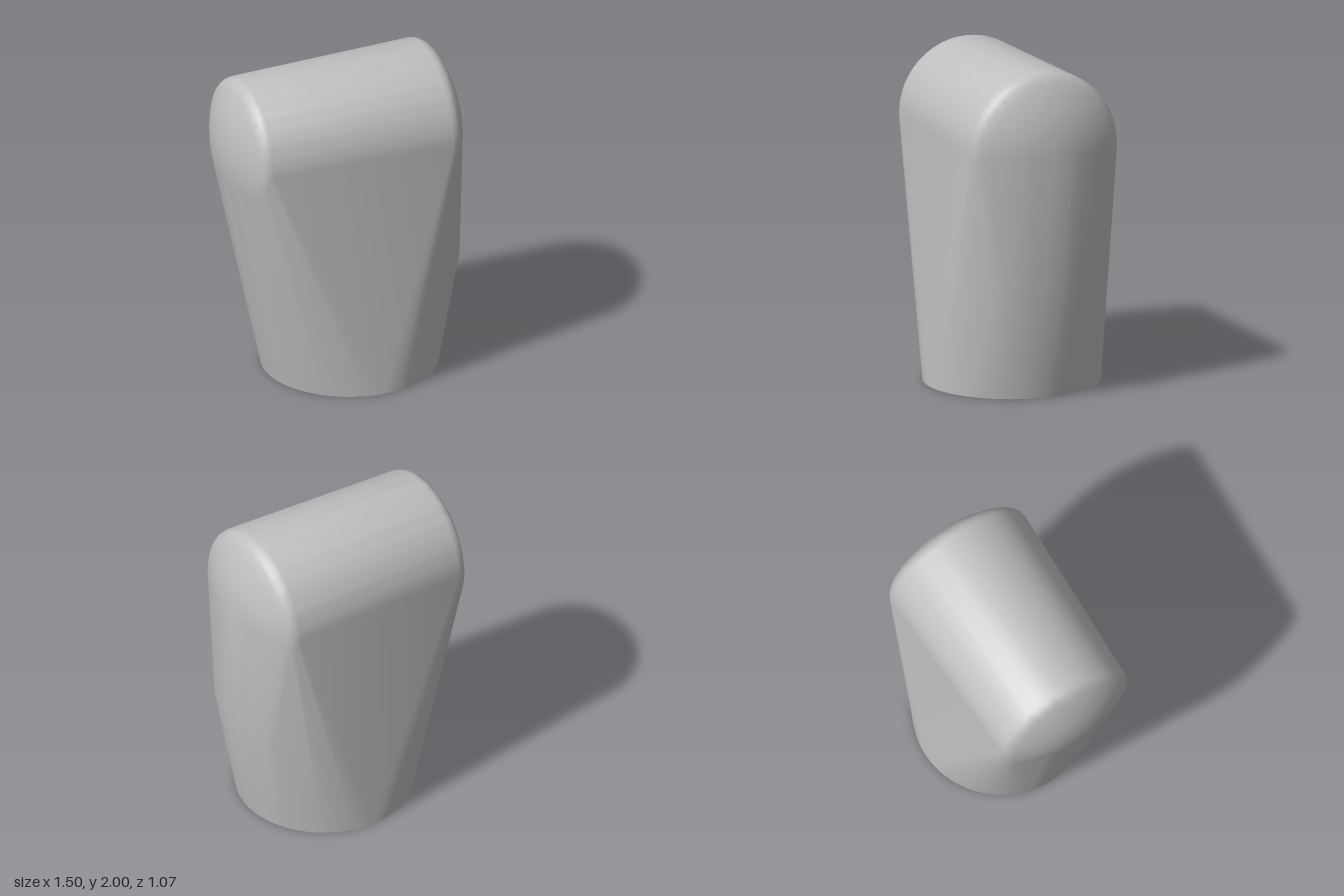
import * as THREE from 'three';
import { ConvexGeometry } from 'three/addons/geometries/ConvexGeometry.js';
import { toCreasedNormals } from 'three/addons/utils/BufferGeometryUtils.js';

const SEGMENTS = 64;
const HEAD_Y = 1.52; // height of the head's horizontal axis
const BASE_X = 0.085; // centre of the round foot

// Head outline as [x, radius], turned about the horizontal axis
const headProfile = [
  [-0.737, 0.15], [-0.717, 0.24], [-0.69, 0.32], [-0.665, 0.38], [-0.645, 0.418], [-0.62, 0.437], [-0.59, 0.444],
  [0.56, 0.48], [0.59, 0.474], [0.615, 0.458], [0.637, 0.43], [0.662, 0.38], [0.69, 0.315], [0.717, 0.235], [0.737, 0.15],
];

export function createModel() {
  const group = new THREE.Group();
  group.name = 'roundedHeadBlock';
  const grey = new THREE.MeshStandardMaterial({ color: 0xc0c0c0 });
  grey.name = 'plain grey';
  const points = [];

  // Tapered drum with domed ends
  points.push(new THREE.Vector3(-0.75, HEAD_Y, 0), new THREE.Vector3(0.75, HEAD_Y, 0));
  for (const [x, r] of headProfile) {
    for (let i = 0; i < SEGMENTS; i++) {
      const a = (i / SEGMENTS) * Math.PI * 2;
      points.push(new THREE.Vector3(x, HEAD_Y + r * Math.sin(a), r * Math.cos(a)));
    }
  }

  // Round foot
  for (let i = 0; i < SEGMENTS; i++) {
    const a = (i / SEGMENTS) * Math.PI * 2;
    points.push(new THREE.Vector3(BASE_X + 0.535 * Math.cos(a), 0, 0.535 * Math.sin(a)));
  }

  // Curved shoulder below the left end, concentric with the foot
  for (let i = -6; i <= 6; i++) {
    const a = (i / 6) * (Math.PI / 6);
    points.push(new THREE.Vector3(BASE_X + 0.66 * Math.cos(a), 0.71, 0.66 * Math.sin(a)));
  }

  // One taut skin around head, shoulder and foot
  const body = new THREE.Mesh(toCreasedNormals(new ConvexGeometry(points), 0.6), grey);
  body.name = 'body';
  group.add(body);
  return group;
}
